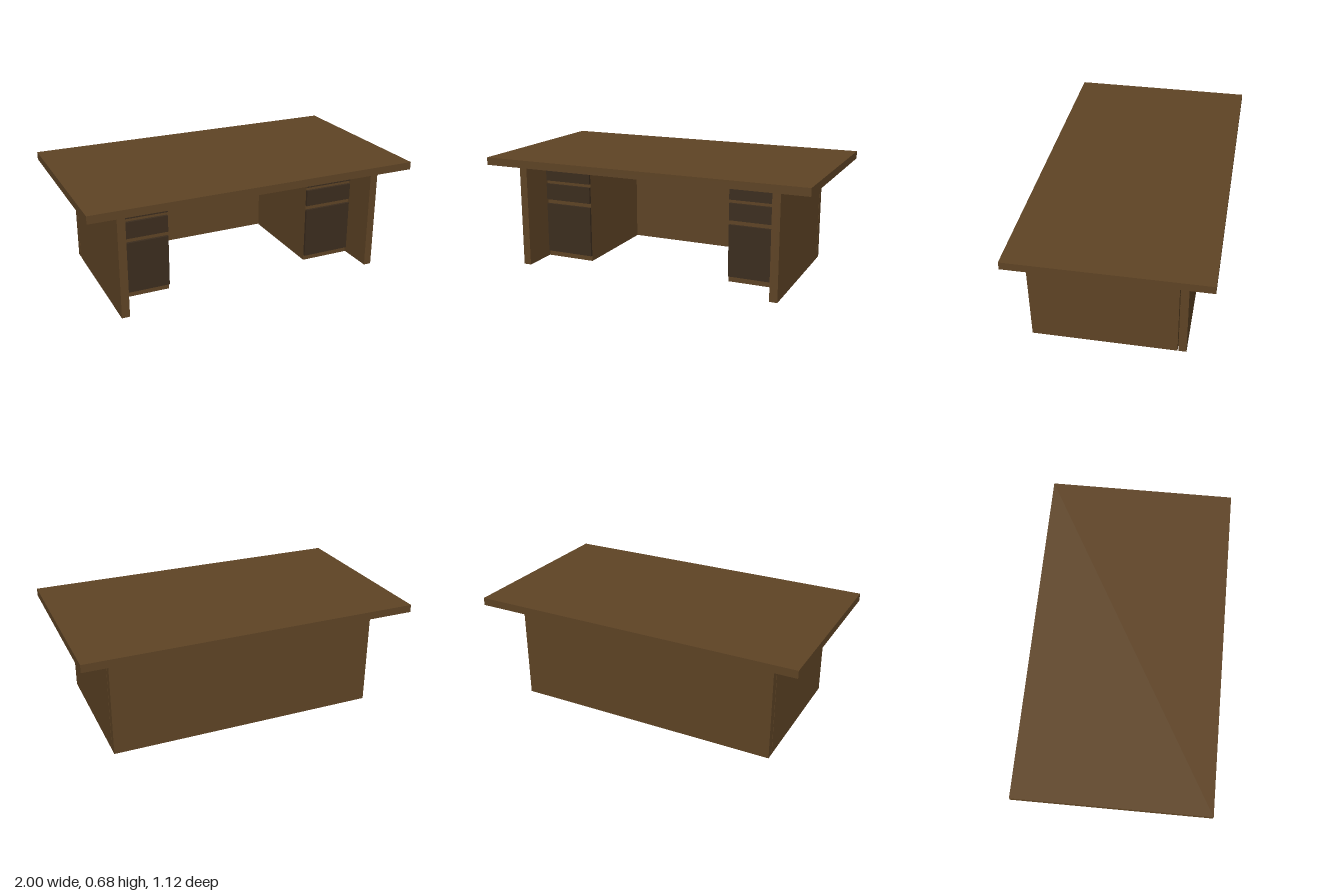
import * as THREE from 'three';

const wood = new THREE.MeshStandardMaterial({ color: 0x5f4425 });
const darkWood = new THREE.MeshStandardMaterial({ color: 0x3c2d1e });

// Box given by its lower and upper limits on each axis
function board(name, [x0, x1], [y0, y1], [z0, z1], material = wood) {
  const mesh = new THREE.Mesh(new THREE.BoxGeometry(x1 - x0, y1 - y0, z1 - z0), material);
  mesh.position.set((x0 + x1) / 2, (y0 + y1) / 2, (z0 + z1) / 2);
  mesh.name = name;
  return mesh;
}

export function createModel() {
  const desk = new THREE.Group();
  desk.name = 'desk';

  // Overhanging top and full-width back panel
  desk.add(board('deskTop', [-1, 1], [0.629, 0.675], [-0.56, 0.56]));
  desk.add(board('backPanel', [-0.82, 0.82], [0, 0.625], [-0.413, -0.367]));

  // Side panel and drawer pedestal, mirrored left and right
  const drawers = [['lowerDrawer', 0.035, 0.348], ['middleDrawer', 0.375, 0.476], ['upperDrawer', 0.497, 0.606]];
  for (const side of [1, -1]) {
    const label = side > 0 ? 'left' : 'right';
    const span = (a, b) => (side > 0 ? [a, b] : [-b, -a]);
    desk.add(board(label + 'SidePanel', span(0.773, 0.82), [0, 0.625], [-0.362, 0.483]));

    const pedestal = new THREE.Group();
    pedestal.name = label + 'Pedestal';
    pedestal.add(board('cabinet', span(0.458, 0.769), [0, 0.625], [-0.362, 0.265]));
    for (const [name, y0, y1] of drawers) {
      pedestal.add(board(name, span(0.458, 0.767), [y0, y1], [0.265, 0.281], darkWood));
    }
    desk.add(pedestal);
  }
  return desk;
}
